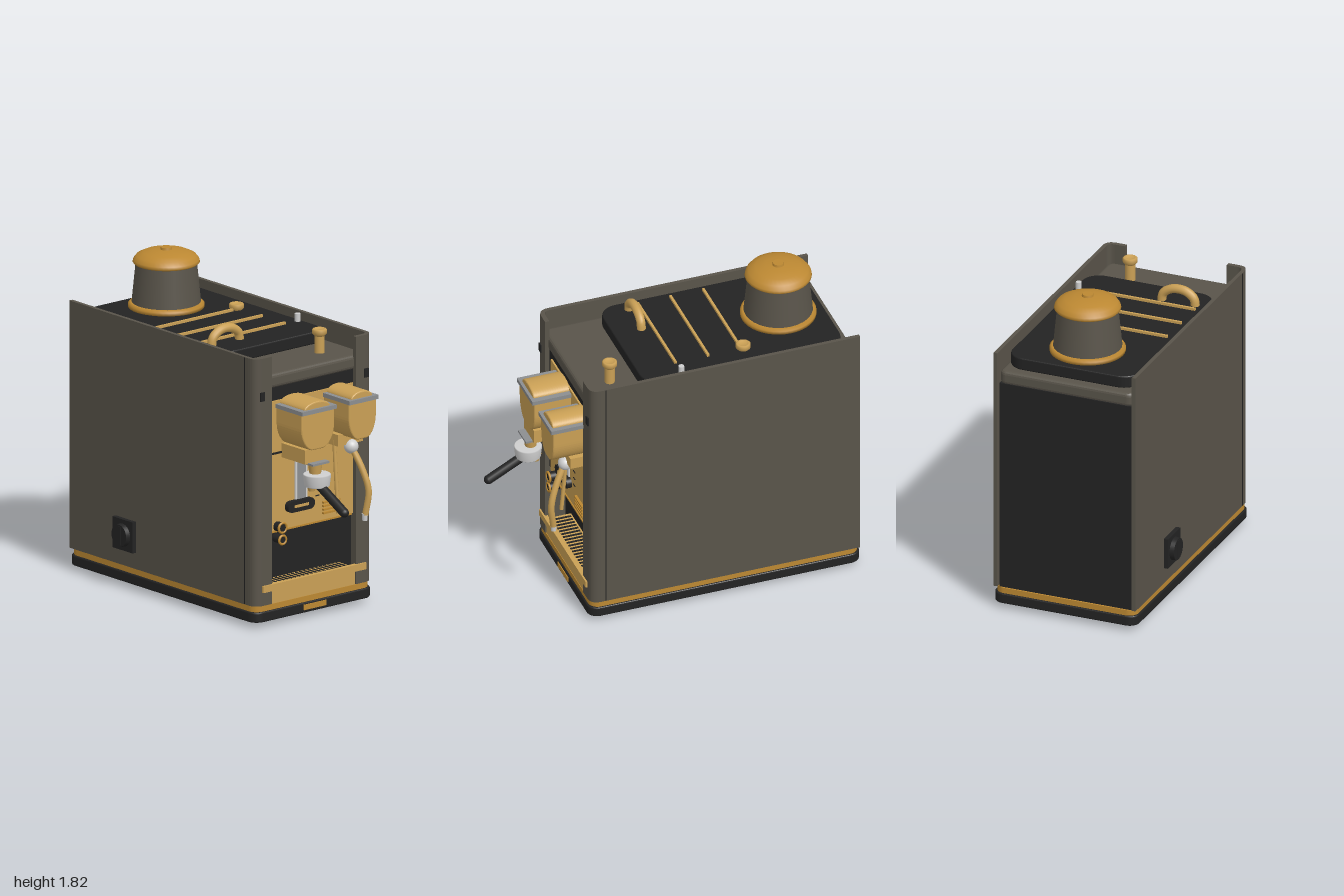
import * as THREE from 'three';

const mat = (name, color) => {
  const m = new THREE.MeshStandardMaterial({ color });
  m.name = name;
  return m;
};

export function createModel() {
  const root = new THREE.Group();
  root.name = 'espressoMachine';
  const taupe = mat('warm grey', 0x59544a), black = mat('black', 0x232323), brass = mat('brass', 0xcaa055);
  const amber = mat('amber brass', 0xbc8832), steel = mat('steel', 0x8c8e90), white = mat('pale metal', 0xcfcfcf);
  const CX = 0.02; // centre line of the cabinet

  const add = (name, geo, m, x = 0, y = 0, z = 0) => {
    const mesh = new THREE.Mesh(geo, m);
    mesh.name = name;
    mesh.position.set(x, y, z);
    root.add(mesh);
    return mesh;
  };
  // box given by its limits
  const box = (name, m, x0, x1, y0, y1, z0, z1) =>
    add(name, new THREE.BoxGeometry(x1 - x0, y1 - y0, z1 - z0), m, (x0 + x1) / 2, (y0 + y1) / 2, (z0 + z1) / 2);
  // upright prism from a plan shape drawn in x and -z
  const prism = (name, m, shape, y0, y1, bevel = 0) => {
    const geo = new THREE.ExtrudeGeometry(shape, {
      depth: y1 - y0 - 2 * bevel, curveSegments: 8, bevelEnabled: bevel > 0,
      bevelSize: bevel, bevelThickness: bevel, bevelOffset: -bevel, bevelSegments: 3,
    });
    geo.rotateX(-Math.PI / 2);
    return add(name, geo, m, 0, y0 + bevel, 0);
  };
  const roundRect = (x0, x1, y0, y1, r) => {
    const s = new THREE.Shape();
    s.absarc(x1 - r, y1 - r, r, 0, Math.PI / 2);
    s.absarc(x0 + r, y1 - r, r, Math.PI / 2, Math.PI);
    s.absarc(x0 + r, y0 + r, r, Math.PI, Math.PI * 1.5);
    s.absarc(x1 - r, y0 + r, r, Math.PI * 1.5, Math.PI * 2);
    return s;
  };
  const slab = (name, m, x0, x1, y0, y1, z0, z1, r, bevel) =>
    prism(name, m, roundRect(x0, x1, -z1, -z0, r), y0, y1, bevel);
  const lathe = (name, m, pts, x, y, z) =>
    add(name, new THREE.LatheGeometry(pts.map(p => new THREE.Vector2(...p)), 40), m, x, y, z);
  const cyl = (name, m, r0, r1, h, x, y, z) => add(name, new THREE.CylinderGeometry(r1, r0, h, 28), m, x, y, z);
  const tube = (name, m, pts, r) =>
    add(name, new THREE.TubeGeometry(new THREE.CatmullRomCurve3(pts.map(p => new THREE.Vector3(...p))), 28, r, 12), m);

  // feet, plinth and trim band
  for (const x of [-0.29, 0.33]) for (const z of [-0.84, 0.42]) cyl('foot', black, 0.03, 0.03, 0.035, x, 0.0175, z);
  slab('plinth', black, -0.405, 0.445, 0.03, 0.088, -1, 0.575, 0.06, 0.008);
  slab('trimBand', amber, -0.395, 0.435, 0.088, 0.12, -0.99, 0.565, 0.055, 0);
  box('namePlate', amber, -0.06, 0.1, 0.047, 0.077, 0.573, 0.58);

  // cabinet
  box('cabinetUpper', black, -0.37, 0.41, 0.51, 1.34, -0.98, 0.52);
  box('cabinetLower', black, -0.37, 0.41, 0.12, 0.51, -0.98, 0.42);
  slab('cabinetTop', taupe, -0.375, 0.415, 1.33, 1.41, -0.975, 0.55, 0.04, 0.02);

  // side panels curling round the front corners
  for (const s of [-1, 1]) {
    const X = d => CX + s * d;
    const p = new THREE.Shape();
    p.moveTo(X(0.42), 0.99);
    p.lineTo(X(0.42), -0.51);
    p.quadraticCurveTo(X(0.42), -0.57, X(0.36), -0.57);
    p.lineTo(X(0.3), -0.57);
    p.lineTo(X(0.3), -0.545);
    p.lineTo(X(0.36), -0.545);
    p.quadraticCurveTo(X(0.398), -0.545, X(0.398), -0.51);
    p.lineTo(X(0.398), 0.99);
    prism('sidePanel', taupe, p, 0.122, 1.52);
    box('panelSeam', black, X(0.42) - 0.0015, X(0.42) + 0.0015, 0.125, 1.518, 0.479, 0.485);
    box('columnCatch', black, X(0.37) - 0.015, X(0.37) + 0.015, 1.28, 1.33, 0.562, 0.576);
  }

  // front wall
  box('frontPlate', brass, -0.3, 0.34, 0.515, 1.25, 0.51, 0.53);
  box('plateSeam', black, -0.28, 0.32, 0.949, 0.96, 0.528, 0.534);
  box('plateLowerTrim', amber, -0.28, 0.32, 0.508, 0.517, 0.51, 0.536);
  box('sightPlate', white, -0.085, 0, 0.66, 0.92, 0.529, 0.537);
  box('sightGroove', steel, -0.07, -0.015, 0.67, 0.9, 0.535, 0.541);
  const cup = new THREE.ExtrudeGeometry(roundRect(-0.155, 0.035, 0.605, 0.668, 0.03), { depth: 0.03, bevelEnabled: false });
  add('sightBase', cup, black, 0, 0, 0.53);
  box('sightLabel', brass, -0.11, -0.01, 0.63, 0.645, 0.56, 0.564);
  for (let i = 0; i < 6; i++) box('tickMark', black, 0.062, 0.088, 0.658 + i * 0.045, 0.664 + i * 0.045, 0.529, 0.533);
  for (let i = 0; i < 4; i++) box('ventSlat', amber, 0.11, 0.23, 0.55 + i * 0.02, 0.56 + i * 0.02, 0.529, 0.545);
  for (const [y, r] of [[0.54, 0.027], [0.472, 0.024]]) {
    cyl('gaugeFace', black, r, r, 0.06, -0.21, y, 0.548).rotation.x = Math.PI / 2;
    add('gaugeRing', new THREE.TorusGeometry(r, 0.007, 8, 28), amber, -0.21, y, 0.576);
  }

  // drip tray
  box('dripTray', brass, -0.28, 0.32, 0.12, 0.215, 0.41, 0.562);
  box('trayRail', brass, -0.35, 0.385, 0.197, 0.235, 0.555, 0.58);
  for (let i = 0; i < 20; i++) box('traySlot', black, -0.26 + i * 0.029, -0.247 + i * 0.029, 0.213, 0.218, 0.43, 0.54);

  // brew heads: arched lid, square rim and rounded pot
  for (const [x, w] of [[-0.098, 0.235], [0.22, 0.195]]) {
    const pot = new THREE.Shape(), lid = new THREE.Shape(), h = w / 2;
    pot.moveTo(-h, 1.215);
    pot.lineTo(-h, 1.13);
    pot.bezierCurveTo(-h, 1.05, -h * 0.6, 1, -h * 0.3, 1);
    pot.lineTo(h * 0.3, 1);
    pot.bezierCurveTo(h * 0.6, 1, h, 1.05, h, 1.13);
    pot.lineTo(h, 1.215);
    lid.absellipse(0, 1.23, h * 0.78, 0.04, 0, Math.PI);
    const opt = { depth: 0.2, bevelEnabled: true, bevelSize: 0.008, bevelThickness: 0.008, bevelOffset: -0.008, curveSegments: 16 };
    add('brewPot', new THREE.ExtrudeGeometry(pot, opt), brass, x, 0, 0.535);
    add('brewLid', new THREE.ExtrudeGeometry(lid, opt), brass, x, 0, 0.53);
    box('brewRim', steel, x - h - 0.006, x + h + 0.006, 1.21, 1.233, 0.53, 0.755);
  }

  // spout, filter basket and its handle
  box('brewNeck', brass, -0.18, -0.02, 0.925, 1.005, 0.53, 0.73);
  box('neckPlate', steel, -0.16, -0.04, 0.918, 0.93, 0.62, 0.77);
  cyl('spout', brass, 0.03, 0.04, 0.08, -0.1, 0.885, 0.72);
  lathe('filterBasket', white, [[0, -0.035], [0.065, -0.035], [0.07, -0.03], [0.077, 0.03], [0.072, 0.035], [0, 0.035]], -0.1, 0.827, 0.735);
  cyl('basketOutlet', brass, 0.018, 0.03, 0.04, -0.1, 0.775, 0.69);
  const grip = add('filterHandle', new THREE.CapsuleGeometry(0.026, 0.25, 6, 16), black, -0.1, 0.748, 0.853);
  grip.rotation.x = Math.PI / 2 + 0.49;
  box('brewLever', brass, 0.01, 0.083, 1.05, 1.07, 0.53, 0.66);

  // steam wands
  box('wandBlock', brass, 0.13, 0.31, 0.95, 1.015, 0.53, 0.64);
  add('wandBall', new THREE.SphereGeometry(0.04, 24, 16), white, 0.225, 0.935, 0.64);
  tube('steamWand', brass, [[0.225, 0.93, 0.645], [0.25, 0.82, 0.7], [0.268, 0.7, 0.735], [0.258, 0.56, 0.72]], 0.018);
  cyl('wandTip', white, 0.014, 0.017, 0.04, 0.256, 0.547, 0.718);
  tube('waterWand', brass, [[0.14, 1.01, 0.595], [0.14, 0.8, 0.61], [0.14, 0.57, 0.63]], 0.011);

  // lid with its rails, handle and caps
  slab('topLid', black, -0.36, 0.4, 1.41, 1.48, -0.92, 0.24, 0.1, 0.008);
  for (const [z, x1] of [[-0.36, 0.23], [-0.17, 0.28], [0.02, 0.28]]) box('lidRail', brass, -0.32, x1, 1.478, 1.494, z - 0.007, z + 0.007);
  tube('lidHandle', brass, [[-0.295, 1.47, 0.08], [-0.285, 1.52, 0.08], [-0.24, 1.553, 0.08], [-0.19, 1.56, 0.08],
    [-0.145, 1.55, 0.08], [-0.105, 1.52, 0.08], [-0.095, 1.47, 0.08]], 0.025);
  for (const [x, y, z] of [[0.27, 1.475, -0.375], [0.22, 1.505, 0.38]]) {
    cyl('capStem', brass, 0.028, 0.028, 0.1, x, y - 0.045, z);
    lathe('capTop', brass, [[0, 0], [0.028, 0], [0.041, 0.015], [0.041, 0.035], [0.035, 0.04], [0.024, 0.04], [0.02, 0.034], [0, 0.034]], x, y, z);
  }
  cyl('valvePin', white, 0.016, 0.016, 0.115, 0.37, 1.467, 0.02);

  // bean hopper
  lathe('hopperFlange', amber, [[0, 0], [0.208, 0], [0.208, 0.018], [0.195, 0.03], [0, 0.03]], CX, 1.48, -0.67);
  cyl('hopperBody', taupe, 0.19, 0.167, 0.23, CX, 1.615, -0.67);
  lathe('hopperDome', amber, [[0, 0], [0.175, 0], [0.183, 0.008], [0.18, 0.022], [0.163, 0.044], [0.125, 0.062], [0.07, 0.074], [0, 0.078]], CX, 1.726, -0.67);
  cyl('hopperKnob', amber, 0.034, 0.03, 0.02, CX, 1.805, -0.67);

  // power switch on the right side
  box('switchPlate', black, -0.425, -0.395, 0.215, 0.39, -0.6, -0.43);
  cyl('switchKnob', black, 0.066, 0.062, 0.035, -0.433, 0.302, -0.515).rotation.z = Math.PI / 2;
  box('switchGrip', black, -0.453, -0.44, 0.25, 0.355, -0.527, -0.503);
  return root;
}
